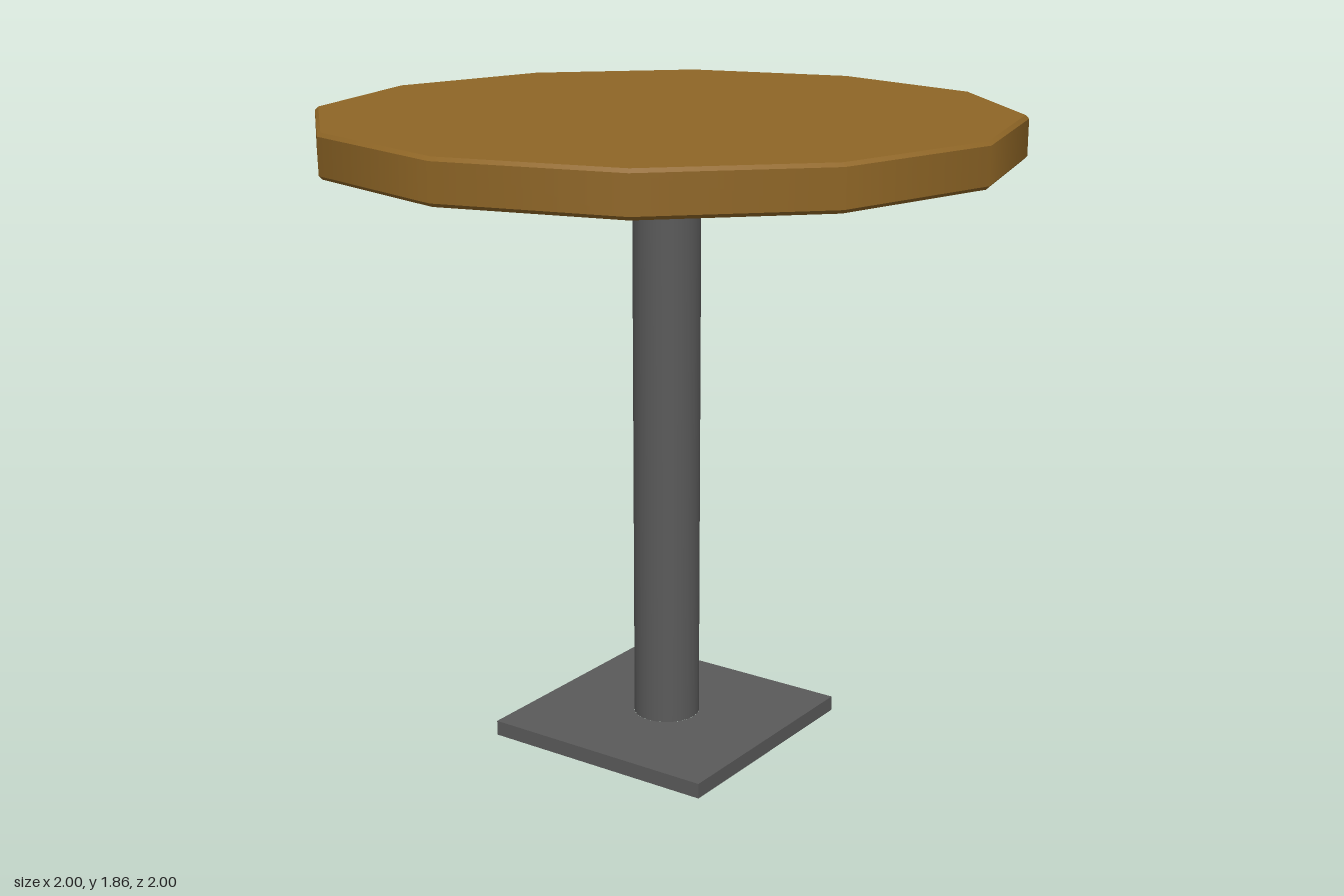
import * as THREE from 'three';

const wood = new THREE.MeshStandardMaterial({ color: 0x8f6626 });
wood.name = 'wood';
const metal = new THREE.MeshStandardMaterial({ color: 0x5a5a5a, side: THREE.DoubleSide });
metal.name = 'darkMetal';

const PLATE_HALF = 0.365, PLATE_TOP = 0.045;
const POLE_RADIUS = 0.098, POLE_SIDES = 24;
const TOP_LOW = 1.735, TOP_HIGH = 1.858, BEVEL = 0.01;

function addMesh(parent, name, geometry, material) {
  const mesh = new THREE.Mesh(geometry, material);
  mesh.name = name;
  parent.add(mesh);
  return mesh;
}

export function createModel() {
  const group = new THREE.Group();
  group.name = 'pedestalTable';

  // Twelve-sided tabletop with a fine bevel; doubled points keep the flat faces crisp
  const profile = [
    [0, TOP_LOW], [1 - BEVEL, TOP_LOW], [1 - BEVEL, TOP_LOW],
    [1, TOP_LOW + BEVEL], [1, TOP_LOW + BEVEL],
    [1, TOP_HIGH - BEVEL], [1, TOP_HIGH - BEVEL],
    [1 - BEVEL, TOP_HIGH], [1 - BEVEL, TOP_HIGH], [0, TOP_HIGH],
  ].map(([r, y]) => new THREE.Vector2(r, y));
  addMesh(group, 'tabletop', new THREE.LatheGeometry(profile, 12), wood);

  // Hollow pole
  const poleHeight = TOP_LOW - PLATE_TOP;
  const pole = new THREE.CylinderGeometry(POLE_RADIUS, POLE_RADIUS, poleHeight, POLE_SIDES, 1, true);
  addMesh(group, 'pole', pole, metal).position.y = PLATE_TOP + poleHeight / 2;

  // Hollow base plate: a square top with a hole for the pole, and four thin sides
  const base = new THREE.Group();
  base.name = 'basePlate';
  group.add(base);

  const h = PLATE_HALF;
  const square = new THREE.Shape([[-h, -h], [h, -h], [h, h], [-h, h]].map(([x, y]) => new THREE.Vector2(x, y)));
  square.holes.push(new THREE.Path().absarc(0, 0, POLE_RADIUS, 0, Math.PI * 2, true));
  const plateTop = new THREE.ShapeGeometry(square, POLE_SIDES).rotateX(-Math.PI / 2);
  addMesh(base, 'basePlateTop', plateTop, metal).position.y = PLATE_TOP;

  for (let i = 0; i < 4; i++) {
    const side = new THREE.PlaneGeometry(2 * h, PLATE_TOP)
      .translate(0, PLATE_TOP / 2, h)
      .rotateY(i * Math.PI / 2);
    addMesh(base, 'basePlateSide', side, metal);
  }

  return group;
}
